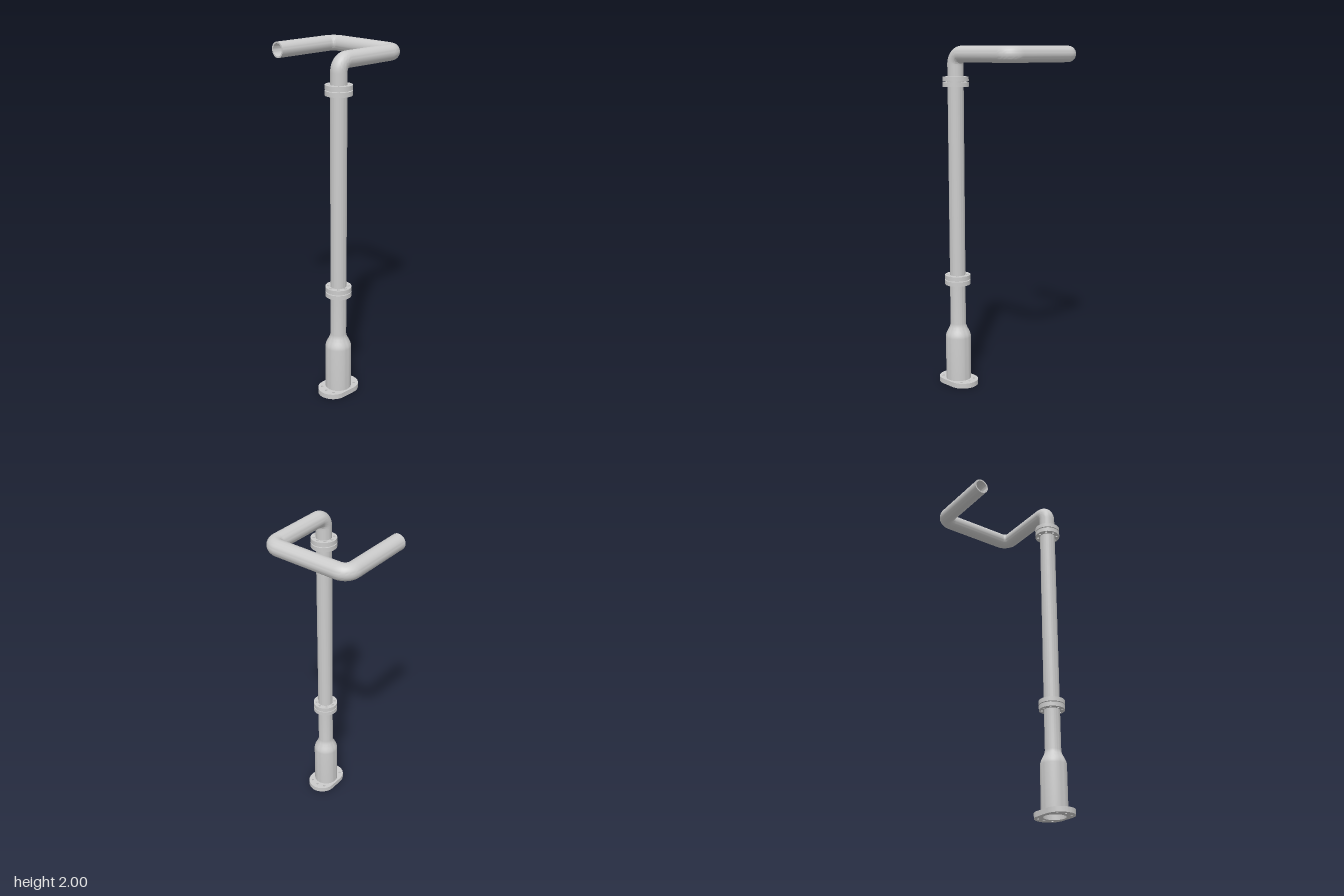
import * as THREE from 'three';
import { toCreasedNormals } from 'three/addons/utils/BufferGeometryUtils.js';

const R = 0.046, RI = 0.037;          // pipe outer and inner radius
const AX = 0.227, AZ = 0.175;         // axis of the upright
const TOP = 2 - R, BACK = -0.264, ENDX = -0.27;
const material = new THREE.MeshStandardMaterial({ color: 0xcccccc });

function mesh(name, geometry) {
  const m = new THREE.Mesh(toCreasedNormals(geometry, 0.6), material);
  m.name = name;
  return m;
}

function addHole(shape, x, y, r) {
  shape.holes.push(new THREE.Path().absarc(x, y, r, 0, Math.PI * 2, true));
}

// Flat plate lying on the ground plane, extruded upwards
function plate(name, shape, depth, y) {
  const g = new THREE.ExtrudeGeometry(shape, { depth, bevelEnabled: false, curveSegments: 20 });
  g.rotateX(-Math.PI / 2).translate(0, y, 0);
  return mesh(name, g);
}

// Hollow turned part from a closed profile: up the outside, down the inside
function turned(name, outer, inner) {
  const pts = [...outer, ...inner.reverse(), outer[0]].map(p => new THREE.Vector2(...p));
  return mesh(name, new THREE.LatheGeometry(pts, 48));
}

// Straight runs joined by round elbows
function pipePath(points, radius) {
  const path = new THREE.CurvePath();
  const k = 0.4477;
  let from = points[0];
  for (let i = 1; i < points.length - 1; i++) {
    const p = points[i];
    const toPrev = points[i - 1].clone().sub(p).normalize();
    const toNext = points[i + 1].clone().sub(p).normalize();
    const at = (dir, d) => p.clone().addScaledVector(dir, d);
    const a = at(toPrev, radius), b = at(toNext, radius);
    path.add(new THREE.LineCurve3(from, a));
    path.add(new THREE.CubicBezierCurve3(a, at(toPrev, radius * k), at(toNext, radius * k), b));
    from = b;
  }
  path.add(new THREE.LineCurve3(from, points[points.length - 1]));
  return path;
}

// Pair of bolted flanges with a narrow gasket between them
function flangeJoint(name, y) {
  const joint = new THREE.Group();
  joint.name = name;
  const ring = new THREE.Shape().absarc(0, 0, 0.075, 0, Math.PI * 2);
  addHole(ring, 0, 0, 0.042);
  for (let i = 0; i < 8; i++) {
    const a = i * Math.PI / 4;
    addHole(ring, 0.058 * Math.cos(a), 0.058 * Math.sin(a), 0.0075);
  }
  joint.add(plate('lowerFlange', ring, 0.026, y - 0.0285));
  joint.add(plate('upperFlange', ring, 0.026, y + 0.0025));
  joint.add(turned('gasket', [[0.049, y - 0.003], [0.049, y + 0.003]],
    [[0.042, y - 0.003], [0.042, y + 0.003]]));
  return joint;
}

export function createModel() {
  const model = new THREE.Group();
  model.name = 'bentPipe';

  const upright = new THREE.Group();
  upright.name = 'upright';
  upright.position.set(AX, 0, AZ);
  model.add(upright);

  // Rounded base plate with three bolt holes at each end
  const base = new THREE.Shape();
  base.absarc(0, 0.042, 0.088, 0, Math.PI);
  base.absarc(0, -0.042, 0.088, Math.PI, Math.PI * 2);
  base.closePath();
  addHole(base, 0, 0, 0.064);
  for (const s of [-1, 1]) {
    addHole(base, 0, s * 0.096, 0.0075);
    for (const x of [-0.049, 0.049]) addHole(base, x, s * 0.083, 0.0075);
  }
  upright.add(plate('basePlate', base, 0.03, 0));

  // Wide foot with a smooth shoulder narrowing to the pipe
  const shoulder = (r0, r1) => Array.from({ length: 11 }, (_, i) => {
    const t = i / 10;
    return [r0 + (r1 - r0) * t * t * (3 - 2 * t), 0.29 + 0.085 * t];
  });
  upright.add(turned('footPipe',
    [[0.075, 0.01], ...shoulder(0.075, R), [R, 0.643]],
    [[0.064, 0.01], ...shoulder(0.064, RI), [RI, 0.643]]));

  // Long middle pipe
  upright.add(turned('middlePipe', [[R, 0.643], [R, 1.8]], [[RI, 0.643], [RI, 1.8]]));
  upright.add(flangeJoint('lowerJoint', 0.643));
  upright.add(flangeJoint('upperJoint', 1.8));

  // Bent outlet pipe, open at its front end
  const path = pipePath([
    new THREE.Vector3(AX, 1.8, AZ),
    new THREE.Vector3(AX, TOP, AZ),
    new THREE.Vector3(AX, TOP, BACK),
    new THREE.Vector3(ENDX, TOP, BACK),
    new THREE.Vector3(ENDX, TOP, AZ),
  ], 0.057);
  const section = new THREE.Shape().absarc(0, 0, R, 0, Math.PI * 2);
  addHole(section, 0, 0, RI);
  model.add(mesh('outletPipe', new THREE.ExtrudeGeometry(section, {
    steps: 200, extrudePath: path, curveSegments: 18, bevelEnabled: false,
  })));

  return model;
}
